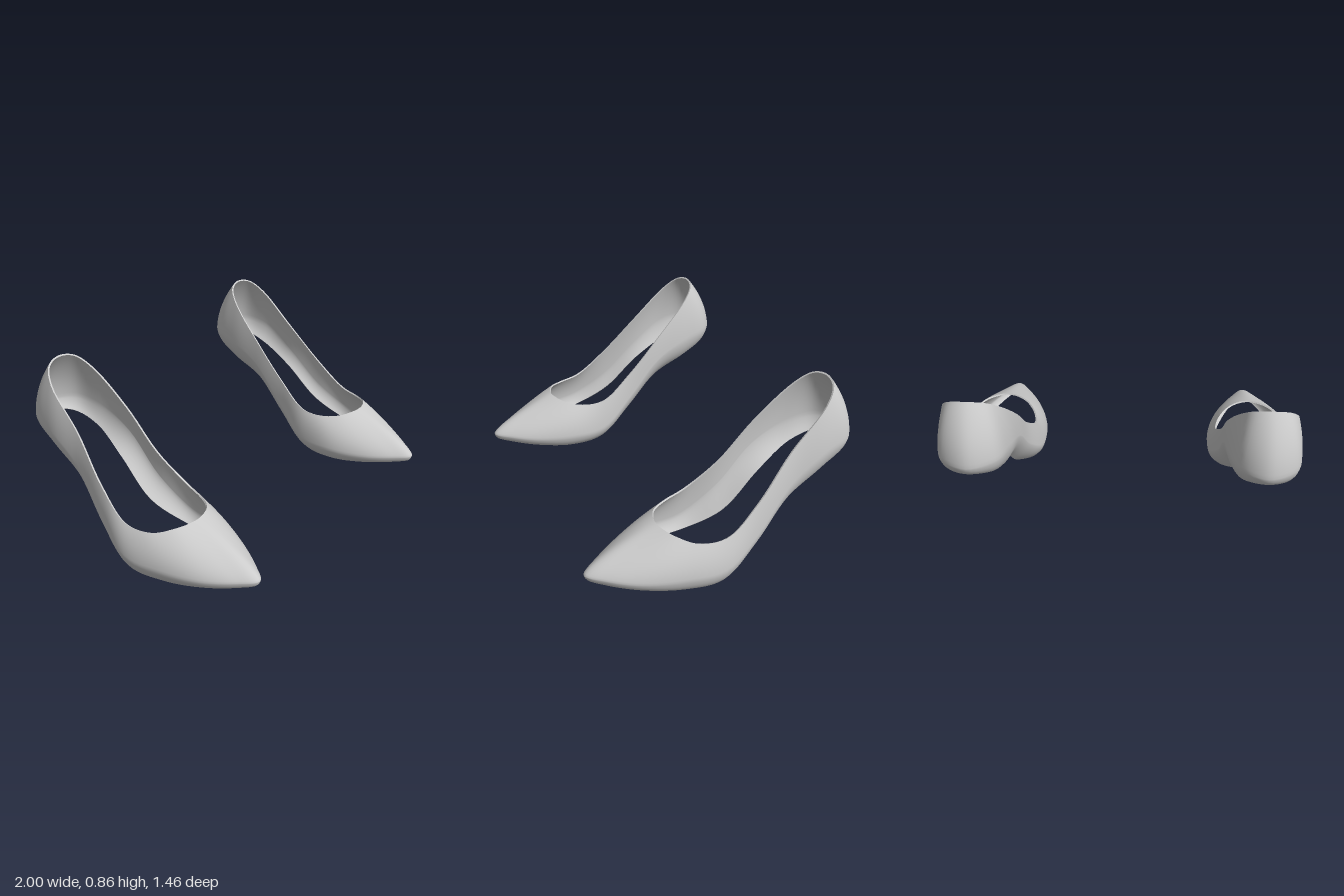
import * as THREE from 'three';

const V = (x, y, z) => new THREE.Vector3(x, y, z);
const closed = (pts) => new THREE.CatmullRomCurve3(pts.map((p) => V(...p)), true, 'centripetal');
const STEPS = 108, LOW = 6, HIGH = 14, THICK = 0.009;

// Three guide loops of the left shoe: toe, outer side, heel, inner side
const soleEdge = closed([
  [0.72, 0.055, 0.715], [0.79, 0.042, 0.64], [0.875, 0.02, 0.49], [0.94, 0.003, 0.3], [0.97, 0.01, 0.1],
  [0.915, 0.12, -0.1], [0.878, 0.31, -0.3], [0.868, 0.425, -0.5], [0.83, 0.48, -0.64], [0.725, 0.505, -0.7],
  [0.62, 0.48, -0.64], [0.583, 0.425, -0.5], [0.61, 0.31, -0.3], [0.605, 0.12, -0.1],
  [0.53, 0.01, 0.1], [0.52, 0.003, 0.3], [0.575, 0.02, 0.49], [0.655, 0.042, 0.64],
]);
const widest = closed([
  [0.72, 0.085, 0.728], [0.8, 0.08, 0.65], [0.895, 0.07, 0.5], [0.965, 0.07, 0.3], [0.998, 0.08, 0.1],
  [0.955, 0.2, -0.1], [0.912, 0.4, -0.3], [0.908, 0.53, -0.5], [0.865, 0.56, -0.655], [0.725, 0.56, -0.728],
  [0.59, 0.56, -0.655], [0.547, 0.53, -0.5], [0.535, 0.44, -0.3], [0.525, 0.23, -0.1],
  [0.487, 0.08, 0.1], [0.49, 0.07, 0.3], [0.555, 0.07, 0.5], [0.645, 0.08, 0.65],
]);
const opening = closed([
  [0.72, 0.27, 0.347], [0.775, 0.267, 0.338], [0.845, 0.258, 0.302], [0.915, 0.236, 0.22], [0.952, 0.245, 0.08],
  [0.935, 0.38, -0.1], [0.89, 0.588, -0.3], [0.865, 0.775, -0.5], [0.81, 0.843, -0.572], [0.725, 0.862, -0.595],
  [0.64, 0.843, -0.572], [0.585, 0.775, -0.5], [0.545, 0.588, -0.3], [0.535, 0.388, -0.1],
  [0.515, 0.262, 0.08], [0.545, 0.247, 0.21], [0.6, 0.257, 0.295], [0.66, 0.267, 0.333],
]);

// Cross-section at one place round the shoe, from sole edge up to the opening
function section(u) {
  const b = soleEdge.getPoint(u), w = widest.getPoint(u), t = opening.getPoint(u);
  const lower = w.clone().lerp(b, 0.15);
  lower.y = THREE.MathUtils.lerp(b.y, w.y, 0.4);
  const upper = w.clone().lerp(t, 0.1);
  upper.y = THREE.MathUtils.lerp(w.y, t.y, 0.5 - 0.2 * THREE.MathUtils.smoothstep(w.z, 0.3, 0.73));
  return [
    ...new THREE.QuadraticBezierCurve3(b, lower, w).getPoints(LOW),
    ...new THREE.QuadraticBezierCurve3(w, upper, t).getPoints(HIGH).slice(1),
  ];
}

// Closed band through rows of points; flip turns its faces round
function band(rows, flip) {
  const n = rows[0].length, index = [];
  for (let i = 0; i < rows.length - 1; i++) {
    for (let j = 0; j < n; j++) {
      const k = (j + 1) % n;
      const a = i * n + j, b = i * n + k, c = (i + 1) * n + k, d = (i + 1) * n + j;
      if (flip) index.push(a, c, b, a, d, c);
      else index.push(a, b, c, a, c, d);
    }
  }
  const geo = new THREE.BufferGeometry().setFromPoints(rows.flat());
  geo.setIndex(index);
  geo.computeVertexNormals();
  return geo;
}

function makeShoe(side) {
  const shoe = new THREE.Group();
  const material = new THREE.MeshStandardMaterial({ color: 0xcccccc, side: THREE.DoubleSide });
  const add = (name, geo) => {
    const mesh = new THREE.Mesh(geo, material);
    mesh.name = name;
    shoe.add(mesh);
  };

  const sections = Array.from({ length: STEPS }, (_, j) => section(j / STEPS));
  const outer = sections[0].map((_, i) => sections.map((s) => V(s[i].x * side, s[i].y, s[i].z)));
  // The loop runs toe to +x to heel, so upward rows face outward
  const flip = side < 0;
  const upperGeo = band(outer, flip);
  add('upper', upperGeo);

  // Lining set inside the upper by the material thickness
  const normals = upperGeo.attributes.normal;
  const inner = outer.map((row, i) => row.map((p, j) =>
    p.clone().addScaledVector(V().fromBufferAttribute(normals, i * STEPS + j), -THICK)));
  add('lining', band(inner, !flip));

  // Rims closing the gap between upper and lining
  const last = outer.length - 1;
  add('openingRim', band([outer[last], inner[last]], flip));
  add('soleRim', band([inner[0], outer[0]], flip));
  return shoe;
}

export function createModel() {
  const model = new THREE.Group();
  model.name = 'pairOfShoes';
  for (const side of [1, -1]) {
    const shoe = makeShoe(side);
    shoe.name = side > 0 ? 'leftShoe' : 'rightShoe';
    model.add(shoe);
  }
  return model;
}
